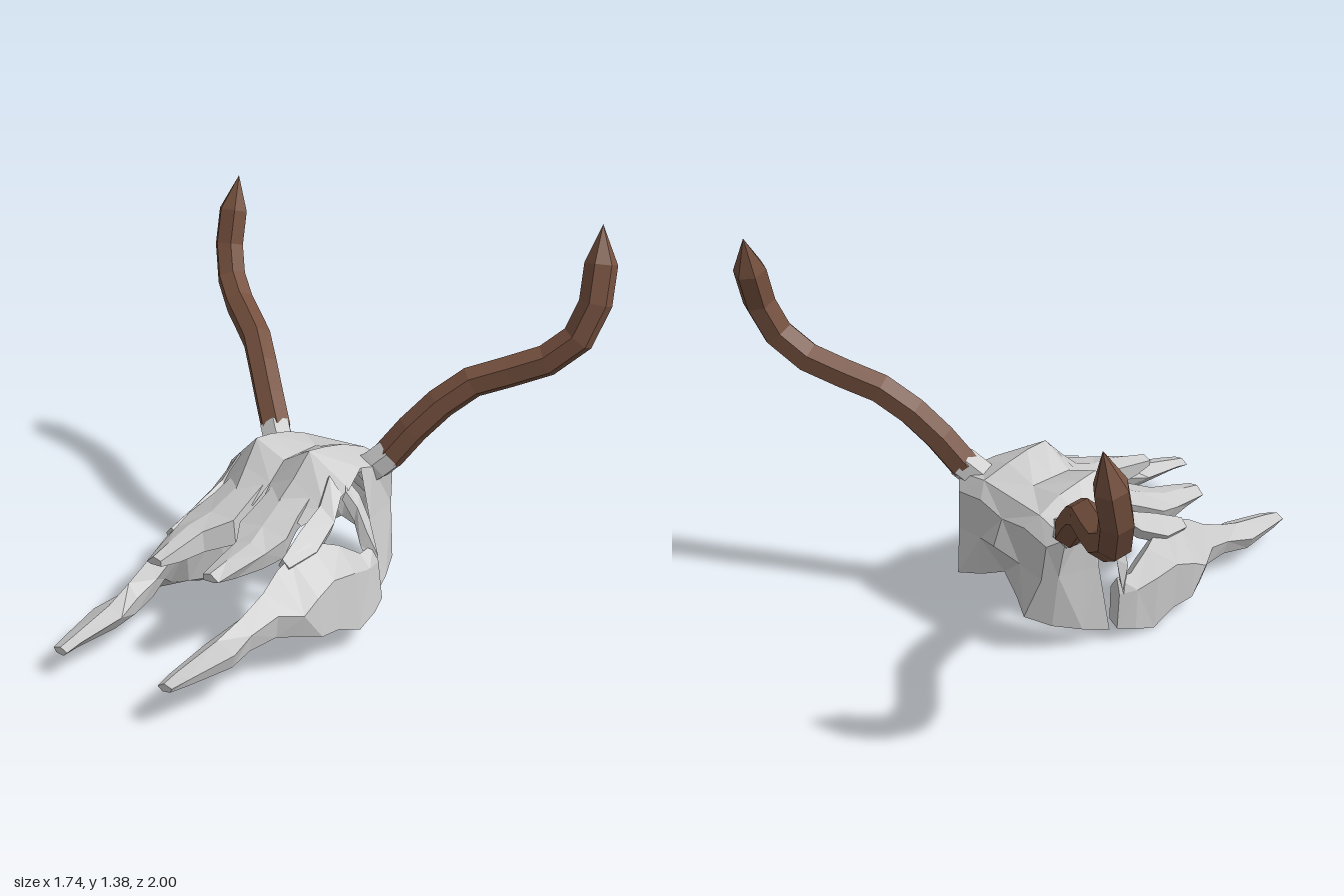
import * as THREE from 'three';

const bone = new THREE.MeshStandardMaterial({ color: 0xcccccc, flatShading: true, side: THREE.DoubleSide });
const hornMat = new THREE.MeshStandardMaterial({ color: 0x76513f, flatShading: true, side: THREE.DoubleSide });

function named(geometry, material, name, shiftX = 0) {
  const g = geometry.index ? geometry.toNonIndexed() : geometry;
  g.computeVertexNormals();
  const mesh = new THREE.Mesh(g, material);
  mesh.name = name;
  mesh.position.x = shiftX;
  return mesh;
}

// Joins cross-sections { z, p: [[x, y], ...] }, each point may carry its own z shift.
// Closed sections become capped solids, open ones become shells.
function loft(sections, side, closed) {
  const n = sections[0].p.length;
  const pos = [], idx = [];
  for (const { z, p } of sections) for (const [x, y, dz = 0] of p) pos.push(x * side, y, z + dz);
  const tri = (a, b, c) => (side > 0 ? idx.push(a, b, c) : idx.push(a, c, b));
  for (let i = 0; i < sections.length - 1; i++) {
    for (let j = 0; j < (closed ? n : n - 1); j++) {
      const k = (j + 1) % n, a = i * n, b = a + n;
      // alternate the diagonals for an irregular faceted look
      if ((i + j) % 2) { tri(a + j, a + k, b + j); tri(a + k, b + k, b + j); }
      else { tri(a + j, a + k, b + k); tri(a + j, b + k, b + j); }
    }
  }
  const last = (sections.length - 1) * n;
  for (let j = 1; closed && j < n - 1; j++) {
    tri(0, j + 1, j);
    tri(last, last + j, last + j + 1);
  }
  const g = new THREE.BufferGeometry();
  g.setAttribute('position', new THREE.Float32BufferAttribute(pos, 3));
  g.setIndex(idx);
  return g;
}

// A faceted rod through the given points
function rod(points, side, radius, steps, sides) {
  const pts = points.map(([x, y, z]) => new THREE.Vector3(x * side, y, z));
  return new THREE.TubeGeometry(new THREE.CatmullRomCurve3(pts), steps, radius, sides);
}

// Half cross-sections of the brain case, from the crown down to the lower rim
const cranium = [
  { z: -0.07, p: [[0, 0.46], [0.11, 0.48], [0.22, 0.46], [0.21, 0.32], [0.17, 0.16, -0.03]] },
  { z: -0.03, p: [[0, 0.53], [0.14, 0.53], [0.27, 0.5], [0.25, 0.34], [0.24, 0.13]] },
  { z: 0.07, p: [[0, 0.54], [0.13, 0.57], [0.26, 0.51], [0.27, 0.34], [0.29, 0.1]] },
  { z: 0.16, p: [[0, 0.54], [0.13, 0.59], [0.25, 0.52, -0.04], [0.285, 0.33, -0.03], [0.325, 0.075, 0.01]] },
];

// Forehead with two brow humps sloping down to the nose
const forehead = [
  { z: 0.16, p: [[0, 0.54], [0.13, 0.59], [0.25, 0.52, -0.04]] },
  { z: 0.24, p: [[0, 0.54], [0.125, 0.6], [0.28, 0.48, -0.02]] },
  { z: 0.32, p: [[0, 0.48], [0.115, 0.52], [0.25, 0.43]] },
  { z: 0.4, p: [[0.015, 0.42], [0.1, 0.45], [0.21, 0.39]] },
];

// Nose bones
const box = (z, x0, x1, y0, y1) => ({ z, p: [[x0, y0], [x0, y1 - 0.01], [(x0 + x1) / 2, y1], [x1, y1 - 0.025], [x1 - 0.02, y0]] });
const nasal = [
  box(0.26, 0.02, 0.18, 0.42, 0.52),
  box(0.4, 0.02, 0.2, 0.36, 0.455),
  box(0.5, 0.015, 0.23, 0.31, 0.41),
  box(0.59, 0.08, 0.215, 0.3, 0.385),
  box(0.7, 0.09, 0.19, 0.3, 0.36),
  box(0.78, 0.1, 0.17, 0.31, 0.34),
];

// Cheek and upper jaw: top ridge, outer wall, lower edge, inner wall
const jaw = [
  { z: 0.19, p: [[0.345, 0.28], [0.365, 0.22], [0.37, 0.08], [0.33, 0.1], [0.32, 0.23]] },
  { z: 0.26, p: [[0.345, 0.27], [0.385, 0.22], [0.395, 0.06], [0.35, 0.07], [0.31, 0.23]] },
  { z: 0.35, p: [[0.33, 0.33], [0.395, 0.24], [0.4, 0.03], [0.36, 0.05], [0.28, 0.26]] },
  { z: 0.45, p: [[0.29, 0.37], [0.39, 0.25], [0.395, 0.07], [0.35, 0.08], [0.26, 0.28]] },
  { z: 0.54, p: [[0.28, 0.345], [0.395, 0.22], [0.4, 0.08], [0.35, 0.11], [0.25, 0.26]] },
  { z: 0.61, p: [[0.28, 0.32], [0.39, 0.18], [0.37, 0.1], [0.3, 0.16], [0.25, 0.25]] },
  { z: 0.69, p: [[0.285, 0.27], [0.345, 0.2], [0.33, 0.12], [0.28, 0.13], [0.255, 0.2]] },
  { z: 0.8, p: [[0.28, 0.22], [0.325, 0.17], [0.31, 0.11], [0.26, 0.11], [0.245, 0.17]] },
  { z: 0.91, p: [[0.27, 0.18], [0.35, 0.15], [0.33, 0.1], [0.25, 0.1], [0.21, 0.15]] },
  { z: 1.09, p: [[0.26, 0.14], [0.31, 0.125], [0.3, 0.1], [0.25, 0.1], [0.225, 0.125]] },
  { z: 1.15, p: [[0.26, 0.125], [0.295, 0.115], [0.285, 0.1], [0.25, 0.095], [0.23, 0.11]] },
];

// Bridge between brow and cheek, in front of the eye socket
const bridge = [
  { z: 0.25, p: [[0.22, 0.53], [0.27, 0.47], [0.24, 0.44], [0.18, 0.48]] },
  { z: 0.33, p: [[0.24, 0.45], [0.3, 0.4], [0.28, 0.36], [0.2, 0.4]] },
  { z: 0.45, p: [[0.25, 0.4], [0.32, 0.34], [0.3, 0.3], [0.22, 0.35]] },
  { z: 0.57, p: [[0.27, 0.345], [0.3, 0.32], [0.28, 0.29], [0.25, 0.32]] },
];

// Thin plate closing the eye socket at the back, from brow to cheek
const socketRim = [
  { z: 0.2, p: [[0.25, 0.51], [0.28, 0.48, 0.04], [0.27, 0.45, 0.05]] },
  { z: 0.18, p: [[0.29, 0.45], [0.31, 0.42, 0.04], [0.3, 0.37, 0.05]] },
  { z: 0.18, p: [[0.33, 0.36], [0.35, 0.33, 0.04], [0.33, 0.29, 0.06]] },
  { z: 0.19, p: [[0.345, 0.28], [0.365, 0.24], [0.35, 0.2, 0.03]] },
];

const pedicle = [[0.19, 0.47, 0.04], [0.23, 0.495, 0.02], [0.275, 0.535, -0.015]];
const hornPath = [
  [0.265, 0.525, -0.01], [0.38, 0.67, -0.095], [0.51, 0.785, -0.2], [0.69, 0.84, -0.32],
  [0.79, 0.9, -0.384], [0.853, 1.005, -0.434], [0.862, 1.175, -0.488], [0.85, 1.31, -0.525],
];

// Long horn whose last ring closes to a point
function horn(side) {
  const steps = 9, sides = 6;
  const g = rod(hornPath, side, 0.058, steps, sides);
  const [x, y, z] = hornPath[hornPath.length - 1];
  for (let j = 0; j <= sides; j++) g.attributes.position.setXYZ(steps * (sides + 1) + j, x * side, y, z);
  return g;
}

export function createModel() {
  const root = new THREE.Group();
  root.name = 'hornedSkull';
  const skull = new THREE.Group();
  skull.name = 'skull';

  // The right jaw sits slightly closer to the middle than the left one
  for (const [side, label, jawShift] of [[1, 'left', 0], [-1, 'right', 0.028]]) {
    const half = new THREE.Group();
    half.name = label + 'Half';
    half.add(
      named(loft(cranium, side, false), bone, 'cranium'),
      named(loft(forehead, side, false), bone, 'forehead'),
      named(loft(nasal, side, true), bone, 'noseBone'),
      named(loft(jaw, side, true), bone, 'upperJaw', jawShift),
      named(loft(bridge, side, true), bone, 'cheekBridge', jawShift / 2),
      named(loft(socketRim, side, false), bone, 'eyeSocketRim', jawShift / 2),
      named(rod(pedicle, side, 0.06, 2, 6), bone, 'hornBase'),
      named(horn(side), hornMat, 'horn'),
    );
    skull.add(half);
  }

  // Back wall of the brain case, flaring out to its lower corners
  const back = [
    { z: -0.07, p: [[-0.22, 0.46], [-0.11, 0.48], [0, 0.46], [0.11, 0.48], [0.22, 0.46]] },
    { z: -0.07, p: [[-0.21, 0.32], [-0.1, 0.33], [0, 0.36, -0.03], [0.1, 0.33], [0.21, 0.32]] },
    { z: -0.1, p: [[-0.17, 0.16], [-0.09, 0.18, 0.04], [0, 0.23, 0.06], [0.09, 0.18, 0.04], [0.17, 0.16]] },
  ];
  skull.add(named(loft(back, 1, false), bone, 'backWall'));

  // Turn and tilt the whole skull
  skull.quaternion.setFromRotationMatrix(new THREE.Matrix4().makeBasis(
    new THREE.Vector3(0.943, 0.09, 0.32),
    new THREE.Vector3(-0.085, 0.996, -0.029),
    new THREE.Vector3(-0.32, 0, 0.947),
  ));
  skull.position.set(-0.062, 0, -0.172);
  root.add(skull);
  return root;
}
